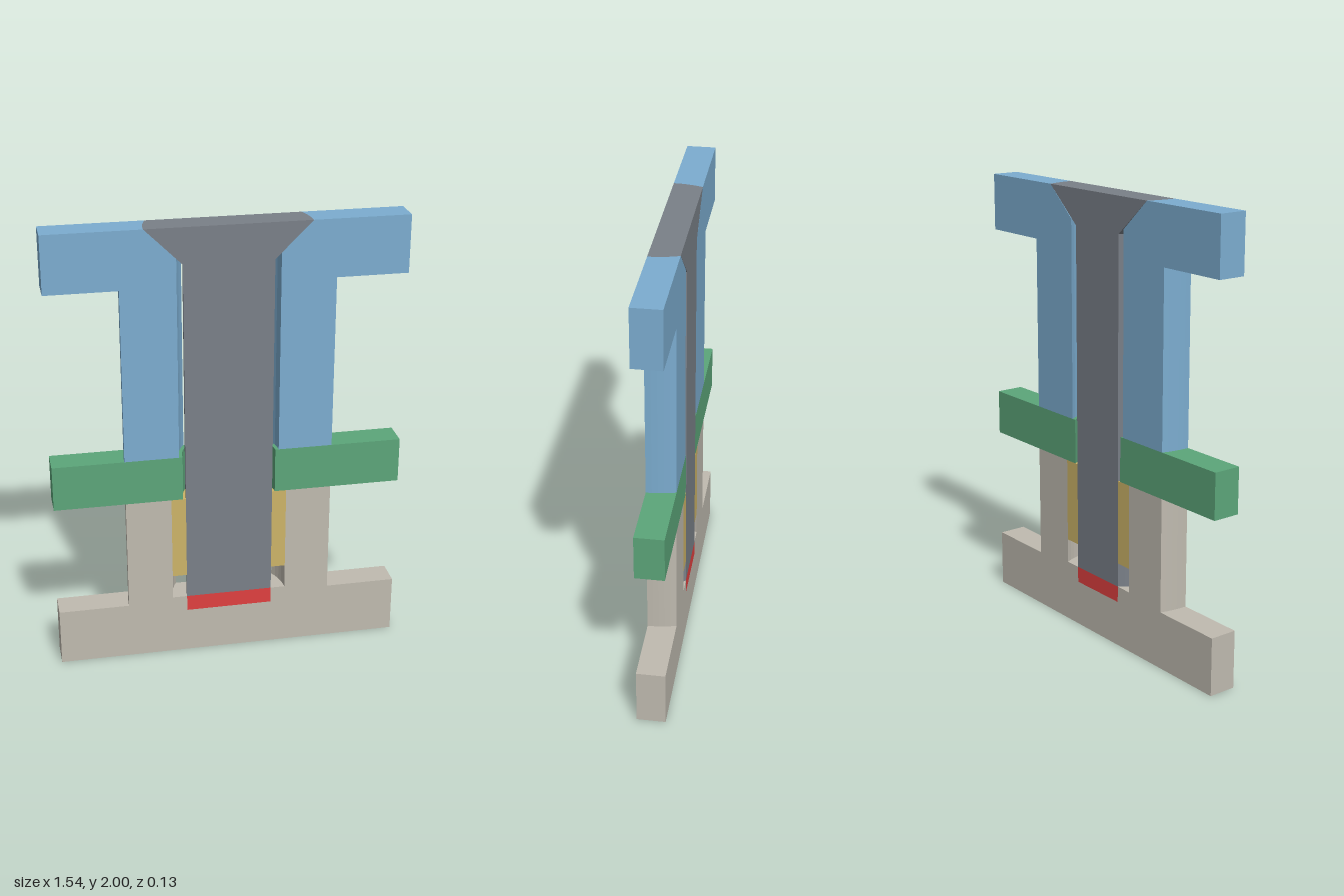
import * as THREE from 'three';

const HALF = 0.063; // half thickness of the slab
const FLANGE = 0.77; // half width of the flat-ended flanges

// Cuts a thin slab from a turned part. Profile points are [signed radius, y] on
// the axis plane (the front face); round surfaces narrow towards the back.
function slice(profile) {
  const shape = new THREE.Shape(profile.map(([x, y]) => new THREE.Vector2(x, y)));
  const geo = new THREE.ExtrudeGeometry(shape, { depth: 2 * HALF, steps: 5, bevelEnabled: false });
  geo.translate(0, 0, -HALF);
  const p = geo.attributes.position;
  for (let i = 0; i < p.count; i++) {
    const r = p.getX(i), d = HALF - p.getZ(i);
    if (Math.abs(r) < FLANGE - 0.01) p.setX(i, Math.sign(r) * Math.sqrt(r * r - d * d));
  }
  geo.computeVertexNormals();
  return geo;
}

const mirror = (profile) => profile.map(([x, y]) => [-x, y]);
// Closes a right-hand outline with its mirror image.
const symmetric = (right) => [...right, ...mirror(right).reverse()];

export function createModel() {
  const model = new THREE.Group();

  const add = (name, color, ...profiles) => {
    const part = new THREE.Group();
    part.name = name;
    const material = new THREE.MeshStandardMaterial({ color, flatShading: true });
    profiles.forEach((profile, i) => {
      const mesh = new THREE.Mesh(slice(profile), material);
      mesh.name = profiles.length > 1 ? name + (i ? 'Right' : 'Left') : name;
      part.add(mesh);
    });
    model.add(part);
  };
  const addPair = (name, color, profile) => add(name, color, profile, mirror(profile));

  // Lower housing with boss and stepped blind pocket
  add('lowerHousing', 0xc0bbb0, symmetric([
    [FLANGE, 0], [FLANGE, 0.26], [0.458, 0.26], [0.458, 0.772],
    [0.257, 0.772], [0.257, 0.28], [0.193, 0.28], [0.193, 0.207],
  ]));

  // Plug at the bottom of the pocket
  add('pocketPlug', 0xe04040, symmetric([[0.193, 0.207], [0.193, 0.28]]));

  // Threaded insert around the screw
  addPair('threadedInsert', 0xcdb468, [[0.193, 0.39], [0.257, 0.39], [0.257, 0.772], [0.193, 0.772]]);

  // Middle plate with clearance hole
  addPair('middlePlate', 0x5ca67a, [[0.205, 0.772], [FLANGE, 0.772], [FLANGE, 0.975], [0.205, 0.975]]);

  // Upper housing with clearance hole and countersink
  addPair('upperHousing', 0x7cadd0, [
    [0.22, 0.975], [0.458, 0.975], [0.458, 1.747], [FLANGE, 1.747],
    [FLANGE, 2], [0.353, 2], [0.22, 1.867],
  ]);

  // Countersunk screw
  add('countersunkScrew', 0x7a8088, symmetric([[0.193, 0.28], [0.193, 1.842], [0.353, 2]]));

  return model;
}
